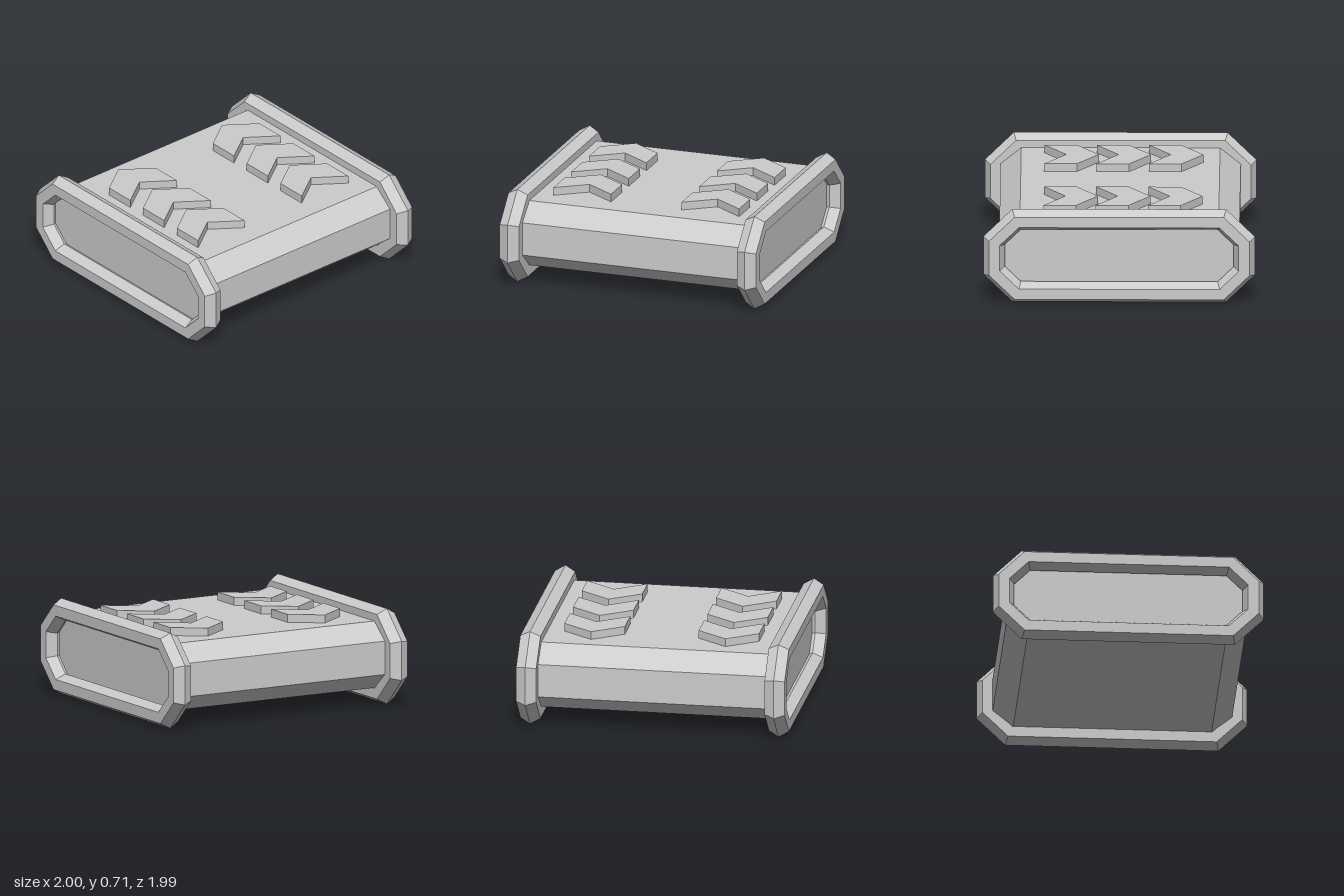
import * as THREE from 'three';

const material = new THREE.MeshStandardMaterial({ color: 0xcccccc, flatShading: true });

// Chamfered rectangle as [z, y] points: half sizes plus where the chamfers start
function octagon(halfZ, halfY, cornerZ, cornerY) {
  return [
    [halfZ, -cornerY], [halfZ, cornerY], [cornerZ, halfY], [-cornerZ, halfY],
    [-halfZ, cornerY], [-halfZ, -cornerY], [-cornerZ, -halfY], [cornerZ, -halfY],
  ];
}

// Closed rim: a hexagonal cross-section swept round the octagon
function rimGeometry() {
  const outerMid = octagon(0.997, 0.357, 0.785, 0.147);
  const outerSide = octagon(0.957, 0.317, 0.768, 0.13);
  const openSide = octagon(0.878, 0.237, 0.737, 0.098);
  const openMid = octagon(0.84, 0.2, 0.723, 0.084);
  const loops = [
    [0.075, outerSide], [0, outerMid], [-0.075, outerSide],
    [-0.075, openSide], [0, openMid], [0.075, openSide],
  ];
  const positions = [];
  const index = [];
  for (const [x, points] of loops) for (const [z, y] of points) positions.push(x, y, z);
  for (let j = 0; j < 6; j++) {
    for (let i = 0; i < 8; i++) {
      const i2 = (i + 1) % 8;
      const j2 = (j + 1) % 6;
      const a = j * 8 + i, b = j * 8 + i2, c = j2 * 8 + i2, d = j2 * 8 + i;
      index.push(a, b, c, a, c, d);
    }
  }
  const geometry = new THREE.BufferGeometry();
  geometry.setAttribute('position', new THREE.Float32BufferAttribute(positions, 3));
  geometry.setIndex(index);
  const flat = geometry.toNonIndexed();
  flat.computeVertexNormals();
  return flat;
}

// Octagonal slab running across the full width between the rims
function bodyGeometry() {
  const points = octagon(0.882, 0.25, 0.73, 0.125).map(([z, y]) => new THREE.Vector2(-z, y));
  const geometry = new THREE.ExtrudeGeometry(new THREE.Shape(points), { depth: 1.8, bevelEnabled: false });
  return geometry.translate(0, 0, -0.9).rotateY(Math.PI / 2);
}

// Raised arrow strip pointing to the back, with its tip at z = 0
function chevronGeometry() {
  const points = [[0, 0], [-0.225, -0.16], [-0.225, -0.4], [0, -0.24], [0.225, -0.4], [0.225, -0.16]]
    .map(([x, y]) => new THREE.Vector2(x, y));
  const geometry = new THREE.ExtrudeGeometry(new THREE.Shape(points), { depth: 0.08, bevelEnabled: false });
  return geometry.rotateX(-Math.PI / 2);
}

export function createModel() {
  const model = new THREE.Group();
  model.name = 'boostPad';
  const add = (geometry, name, x, y, z) => {
    const mesh = new THREE.Mesh(geometry, material);
    mesh.name = name;
    mesh.position.set(x, y, z);
    model.add(mesh);
  };

  add(bodyGeometry(), 'body', 0, 0.37, 0);

  const rim = rimGeometry();
  const chevron = chevronGeometry();
  for (const [side, label] of [[1, 'left'], [-1, 'right']]) {
    add(rim, label + 'Rim', side * 0.925, 0.358, 0);
    // Three arrows in a row on each half of the deck
    for (let i = 0; i < 3; i++) {
      add(chevron, label + 'Chevron' + (i + 1), side * 0.5, 0.6, -0.61 + i * 0.384);
    }
  }
  return model;
}
